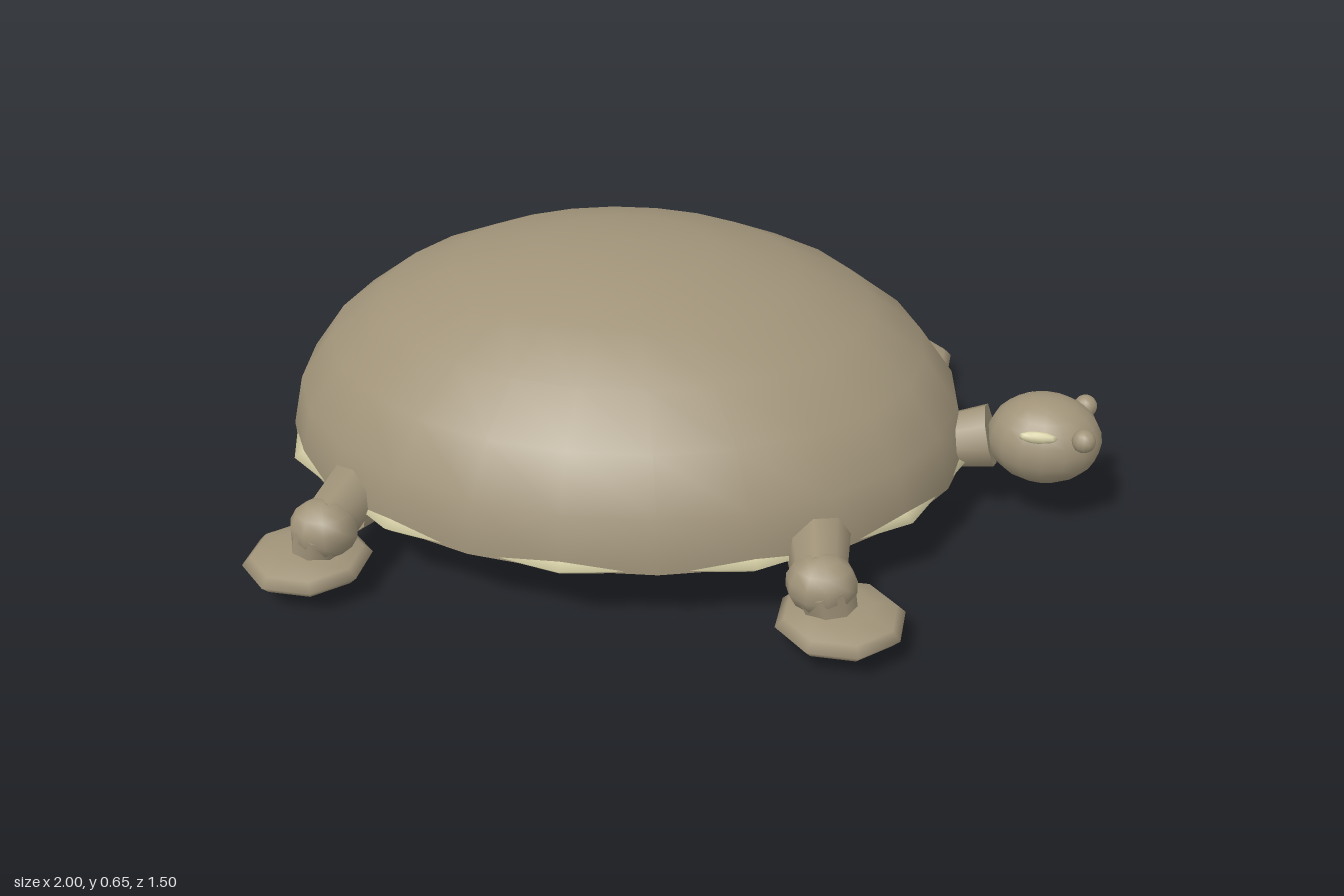
import * as THREE from 'three';

const skin = new THREE.MeshStandardMaterial({ color: 0xa09379 });
skin.name = 'tan skin';
const pale = new THREE.MeshStandardMaterial({ color: 0xd6cfa6 });
pale.name = 'pale cream';

const UP = new THREE.Vector3(0, 1, 0);
const MID = -0.15; // shell centre in x

function add(parent, name, geometry, material, x, y, z) {
  const mesh = new THREE.Mesh(geometry, material);
  mesh.name = name;
  mesh.position.set(x, y, z);
  parent.add(mesh);
  return mesh;
}

// Ellipsoid with its radii baked into the geometry
function blob(rx, ry, rz, w = 12, h = 8) {
  return new THREE.SphereGeometry(1, w, h).scale(rx, ry, rz);
}

// Tapered cylinder between two points
function limb(parent, name, from, to, r0, r1, sides = 8) {
  const a = new THREE.Vector3(...from);
  const b = new THREE.Vector3(...to);
  const d = b.clone().sub(a);
  const mesh = add(parent, name, new THREE.CylinderGeometry(r1, r0, d.length(), sides), skin,
    ...a.clone().add(b).multiplyScalar(0.5).toArray());
  mesh.quaternion.setFromUnitVectors(UP, d.normalize());
  return mesh;
}

// sx: +1 towards the head, -1 towards the tail; sz: side
function makeLeg(sx, sz) {
  const leg = new THREE.Group();
  leg.name = (sx > 0 ? 'head' : 'tail') + 'End' + (sz > 0 ? 'Near' : 'Far') + 'Leg';
  const at = (x, y, z) => [MID + sx * x, y, sz * z];
  limb(leg, 'thigh', at(0.56, 0.165, 0.61), at(0.535, 0.175, 0.465), 0.06, 0.075);
  limb(leg, 'hip', at(0.545, 0.155, 0.52), at(0.47, 0.115, 0.36), 0.065, 0.035);
  add(leg, 'knee', blob(0.08, 0.07, 0.07, 10, 7), skin, ...at(0.565, 0.155, 0.61));
  limb(leg, 'shin', at(0.605, 0.04, 0.615), at(0.57, 0.15, 0.61), 0.05, 0.07);
  add(leg, 'foot', blob(0.147, 0.04, 0.147, 8, 6).rotateY(Math.PI / 8), skin, ...at(0.61, 0.07, 0.615));
  add(leg, 'heelPad', blob(0.055, 0.04, 0.055, 10, 6), skin, ...at(0.61, 0.04, 0.615));
  return leg;
}

export function createModel() {
  const model = new THREE.Group();
  model.name = 'turtle';

  // Shell dome and pale underside
  const dome = new THREE.SphereGeometry(1, 24, 6, 0, Math.PI * 2, 0, Math.PI / 2).scale(0.83, 0.487, 0.68);
  add(model, 'shell', dome, skin, MID, 0.16, 0);
  add(model, 'belly', blob(0.85, 0.075, 0.695, 12, 12), pale, MID, 0.165, 0);

  // Neck and head
  limb(model, 'neck', [0.42, 0.135, 0], [0.735, 0.215, 0], 0.04, 0.078);
  add(model, 'head', blob(0.135, 0.107, 0.115, 16, 12), skin, 0.86, 0.223, 0);
  for (const s of [1, -1]) {
    add(model, 'eye', blob(0.028, 0.028, 0.028, 12, 8), skin, 0.95, 0.27, s * 0.085);
    add(model, 'cheekMark', blob(0.045, 0.015, 0.012, 10, 6), pale, 0.845, 0.275, s * 0.098);
  }

  // Four legs, mirrored about the shell centre
  for (const sx of [1, -1]) for (const sz of [1, -1]) model.add(makeLeg(sx, sz));
  return model;
}
